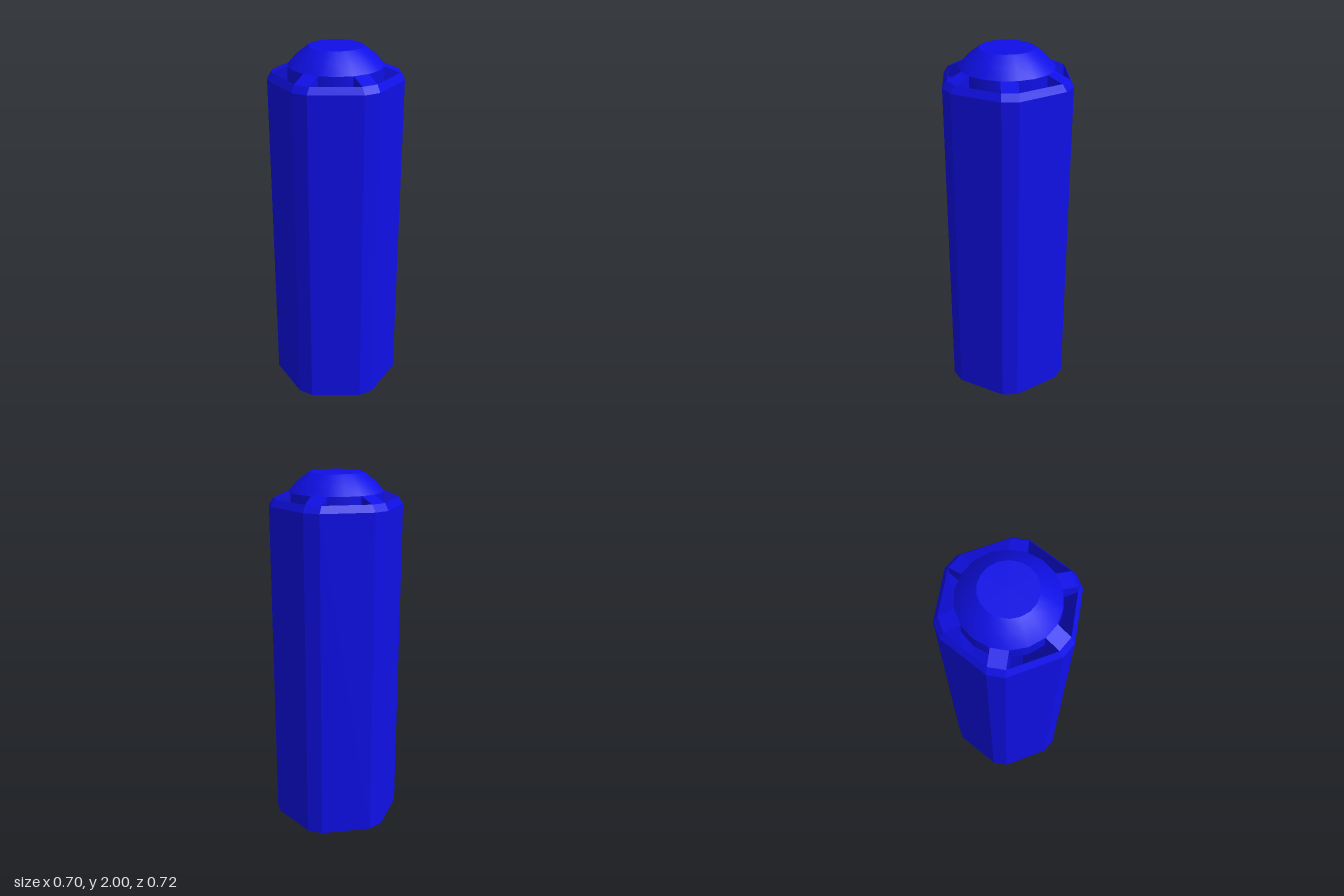
import * as THREE from 'three';
import { toCreasedNormals } from 'three/addons/utils/BufferGeometryUtils.js';

const RAD = Math.PI / 180;
const SIDES = 6;
const midAngle = k => (-80 + 60 * k) * RAD; // centre of each narrow side

// Hexagon with cut corners, as a ring of 12 points at height y
function ring(radius, halfAngle, y) {
  const pts = [];
  for (let k = 0; k < SIDES; k++) {
    for (const s of [-1, 1]) {
      const a = midAngle(k) + s * halfAngle * RAD;
      pts.push([radius * Math.cos(a), y, radius * Math.sin(a)]);
    }
  }
  return pts;
}

// Closed, flat-faced skin through a loop of rings
function skinRings(rings) {
  const pos = [];
  rings.forEach((lower, r) => {
    const upper = rings[(r + 1) % rings.length];
    lower.forEach((a, i) => {
      const j = (i + 1) % lower.length;
      const b = lower[j], c = upper[j], d = upper[i];
      pos.push(...a, ...d, ...c, ...a, ...c, ...b);
    });
  });
  const geo = new THREE.BufferGeometry();
  geo.setAttribute('position', new THREE.Float32BufferAttribute(pos, 3));
  geo.computeVertexNormals();
  return geo;
}

export function createModel() {
  const group = new THREE.Group();
  const blue = new THREE.MeshStandardMaterial({ color: 0x1010ee });
  blue.name = 'blue';
  const add = (name, geo) => {
    const mesh = new THREE.Mesh(geo, blue);
    mesh.name = name;
    group.add(mesh);
    return mesh;
  };

  // Hollow tube, open below, with a bevelled upper rim
  add('tube', skinRings([
    ring(0.361, 7, 0),
    ring(0.361, 7, 1.83),
    ring(0.336, 7.5, 1.867),
    ring(0.336, 7.5, 0),
  ]));

  // Domed cap with a flat top, hollow underneath
  const profile = [
    [0.23, 1.81], [0.255, 1.81], [0.255, 1.9], [0.205, 1.955], [0.145, 2], [0, 2],
    [0, 1.975], [0.135, 1.975], [0.19, 1.935], [0.23, 1.89], [0.23, 1.81],
  ].map(([x, y]) => new THREE.Vector2(x, y));
  add('domeCap', toCreasedNormals(new THREE.LatheGeometry(profile, 18), 0.5));

  // Six sloping spokes joining the cap to the rim
  const width = 0.088;
  const side = new THREE.Shape([
    [0.245, 1.81], [0.333, 1.81], [0.333, 1.867], [0.252, 1.9], [0.245, 1.9],
  ].map(([x, y]) => new THREE.Vector2(x, y)));
  const spoke = new THREE.ExtrudeGeometry(side, { depth: width, bevelEnabled: false });
  spoke.translate(0, 0, -width / 2);
  for (let k = 0; k < SIDES; k++) add('spoke', spoke).rotation.y = -midAngle(k);

  return group;
}
